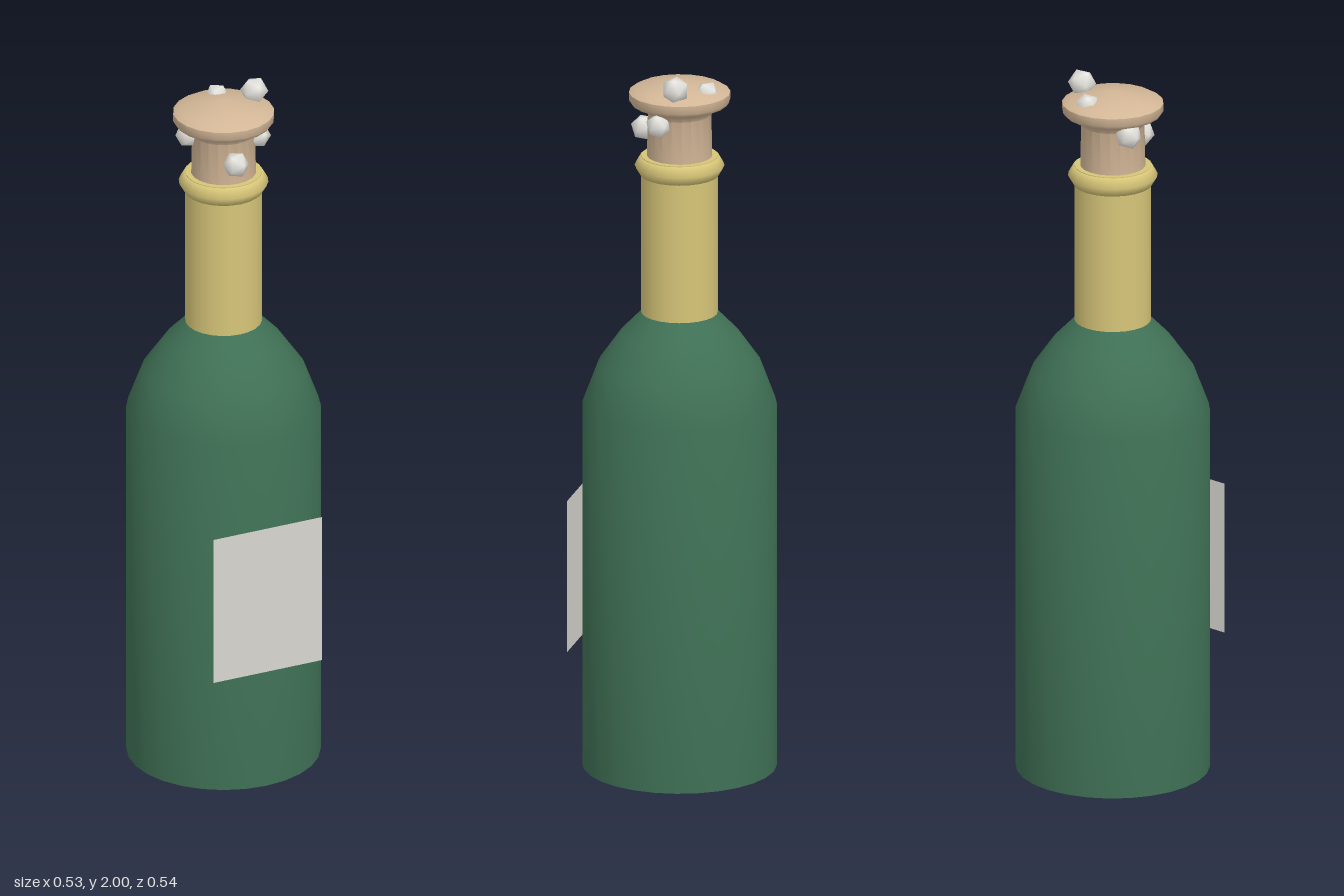
import * as THREE from 'three';
import { toCreasedNormals, mergeVertices } from 'three/addons/utils/BufferGeometryUtils.js';

const paint = (color) => new THREE.MeshStandardMaterial({ color });

function add(parent, name, geometry, material, x = 0, y = 0, z = 0) {
  const mesh = new THREE.Mesh(geometry, material);
  mesh.name = name;
  mesh.position.set(x, y, z);
  parent.add(mesh);
  return mesh;
}

// Turned part from [radius, height] pairs, with sharp rims kept crisp
function turned(profile, sides) {
  const points = profile.map(([r, y]) => new THREE.Vector2(r, y));
  return toCreasedNormals(new THREE.LatheGeometry(points, sides), 0.7);
}

export function createModel() {
  const model = new THREE.Group();
  model.name = 'bottle';
  const glass = paint(0x3f7055);
  const foil = paint(0xd6c578);
  const corkMaterial = paint(0xd2b696);
  const pearl = paint(0xe8e6e0);
  const paper = paint(0xd8d6cf);
  paper.side = THREE.DoubleSide;

  // Everything turned shares one axis, slightly behind the origin
  const axis = new THREE.Group();
  axis.name = 'turnedParts';
  axis.position.z = -0.004;
  model.add(axis);

  // Glass body with rounded shoulders
  add(axis, 'body', turned([
    [0, 0], [0.266, 0], [0.266, 1.04], [0.223, 1.155], [0.163, 1.24], [0.105, 1.3], [0, 1.3],
  ], 28), glass);

  // Foil neck and its collar ring
  add(axis, 'neckFoil', new THREE.CylinderGeometry(0.105, 0.105, 0.45, 24), foil, 0, 1.525);
  const collar = add(axis, 'collar', new THREE.TorusGeometry(0.093, 0.03, 6, 24), foil, 0, 1.722);
  collar.rotation.x = Math.PI / 2;

  // Mushroom cork
  add(axis, 'cork', turned([
    [0, 1.72], [0.09, 1.72], [0.087, 1.87], [0.1, 1.888], [0.132, 1.9],
    [0.139, 1.91], [0.139, 1.932], [0.12, 1.943], [0, 1.966],
  ], 20), corkMaterial);

  // Flat label standing just off the glass
  add(model, 'label', new THREE.PlaneGeometry(0.33, 0.434), paper, 0, 0.567, 0.27);

  // Faceted beads with smooth shading: x, y, z, radius, turn
  let bead = new THREE.IcosahedronGeometry(1, 0);
  bead.deleteAttribute('normal');
  bead.deleteAttribute('uv');
  bead = mergeVertices(bead);
  bead.computeVertexNormals();
  [
    [0.1, 1.968, -0.018, 0.039, 0],
    [0.02, 1.94, -0.087, 0.034, 0.5],
    [-0.013, 1.817, 0.1, 0.037, 0.3],
    [0.087, 1.857, 0.032, 0.036, 0.2],
    [-0.09, 1.865, -0.04, 0.037, 0.4],
  ].forEach(([x, y, z, r, turn], i) => {
    const mesh = add(model, `bead${i + 1}`, bead, pearl, x, y, z);
    mesh.scale.setScalar(r);
    mesh.rotation.set(turn, turn, 0);
  });

  return model;
}
